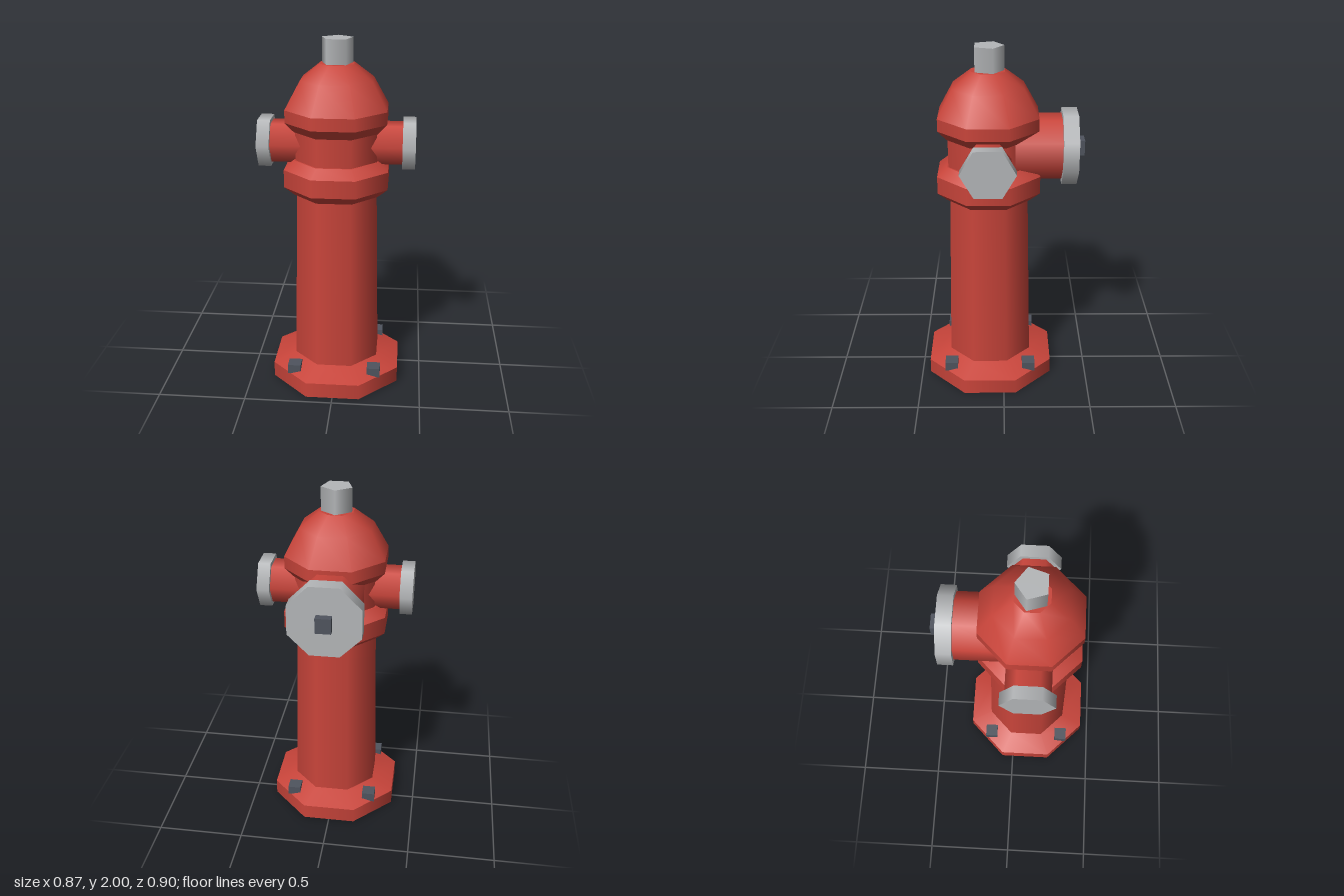
import * as THREE from 'three';

const AXIS_Z = 0.0835; // the barrel sits forward of centre to balance the rear outlet
const OCT = 1 / Math.cos(Math.PI / 8); // flat-to-centre distance -> corner radius

export function createModel() {
  const red = new THREE.MeshStandardMaterial({ color: 0xc8443a });
  red.name = 'red paint';
  const steel = new THREE.MeshStandardMaterial({ color: 0xb4b6b8 });
  steel.name = 'grey steel';
  const dark = new THREE.MeshStandardMaterial({ color: 0x4f545e });
  dark.name = 'dark iron';

  const model = new THREE.Group();
  model.name = 'hydrant';

  const add = (parent, name, geometry, material, x = 0, y = 0, z = 0) => {
    const mesh = new THREE.Mesh(geometry, material);
    mesh.name = name;
    mesh.position.set(x, y, z);
    parent.add(mesh);
    return mesh;
  };

  // Octagonal turned part: each band is smooth inside, with sharp edges between bands
  const turned = (name, bands) => {
    const part = new THREE.Group();
    part.name = name;
    part.position.z = AXIS_Z;
    model.add(part);
    bands.forEach((band, i) => {
      const points = band.map(([flat, y]) => new THREE.Vector2(flat * OCT, y));
      add(part, `${name}Band${i + 1}`, new THREE.LatheGeometry(points, 8, Math.PI / 8), red);
    });
  };
  // Split a profile into one band per straight run
  const sharp = (points) => points.slice(1).map((p, i) => [points[i], p]);

  turned('base', sharp([[0, 0], [0.3665, 0], [0.3665, 0.09], [0.24, 0.14]]));
  turned('barrel', [[[0.24, 0.13], [0.219, 1.15]]]);
  turned('collar', sharp([[0, 1.14], [0.232, 1.14], [0.287, 1.19], [0.287, 1.29], [0.232, 1.34], [0, 1.34]]));
  turned('neck', [[[0.224, 1.33], [0.224, 1.51]]]);
  turned('bonnet', [
    ...sharp([[0, 1.5], [0.23, 1.5], [0.277, 1.555], [0.277, 1.625]]),
    [[0.277, 1.625], [0.195, 1.78], [0.092, 1.865]],
    [[0.092, 1.865], [0, 1.865]],
  ]);

  // Five-sided operating nut on top
  add(model, 'topNut', new THREE.CylinderGeometry(0.0894, 0.0894, 0.15, 5, 1, false, Math.PI),
    steel, 0, 1.925, AXIS_Z);

  // Six-sided side outlets
  for (const [side, s] of [['left', 1], ['right', -1]]) {
    const outlet = new THREE.Group();
    outlet.name = `${side}Outlet`;
    outlet.position.set(0, 1.428, AXIS_Z);
    model.add(outlet);
    const pipe = new THREE.CylinderGeometry(0.124, 0.124, 0.265, 6).rotateZ(Math.PI / 2);
    const cap = new THREE.CylinderGeometry(0.15, 0.15, 0.071, 6).rotateZ(Math.PI / 2);
    add(outlet, `${side}Pipe`, pipe, red, s * 0.2325);
    add(outlet, `${side}Cap`, cap, steel, s * 0.3985);
  }

  // Eight-sided rear outlet with a square nut
  const rear = new THREE.Group();
  rear.name = 'rearOutlet';
  rear.position.y = 1.431;
  model.add(rear);
  const octBarZ = (flat, length) =>
    new THREE.CylinderGeometry(flat * OCT, flat * OCT, length, 8, 1, false, Math.PI / 8).rotateX(Math.PI / 2);
  add(rear, 'rearPipe', octBarZ(0.17, 0.325), red, 0, 0, -0.1625);
  add(rear, 'rearCap', octBarZ(0.199, 0.086), steel, 0, 0, -0.367);
  add(rear, 'rearNut', new THREE.BoxGeometry(0.086, 0.086, 0.053), dark, 0, 0, -0.4265);

  // Four base bolts
  const bolt = new THREE.BoxGeometry(0.075, 0.055, 0.075);
  for (const sx of [-1, 1]) {
    for (const sz of [-1, 1]) {
      add(model, 'baseBolt', bolt, dark, sx * 0.23, 0.1165, AXIS_Z + sz * 0.23);
    }
  }
  return model;
}
